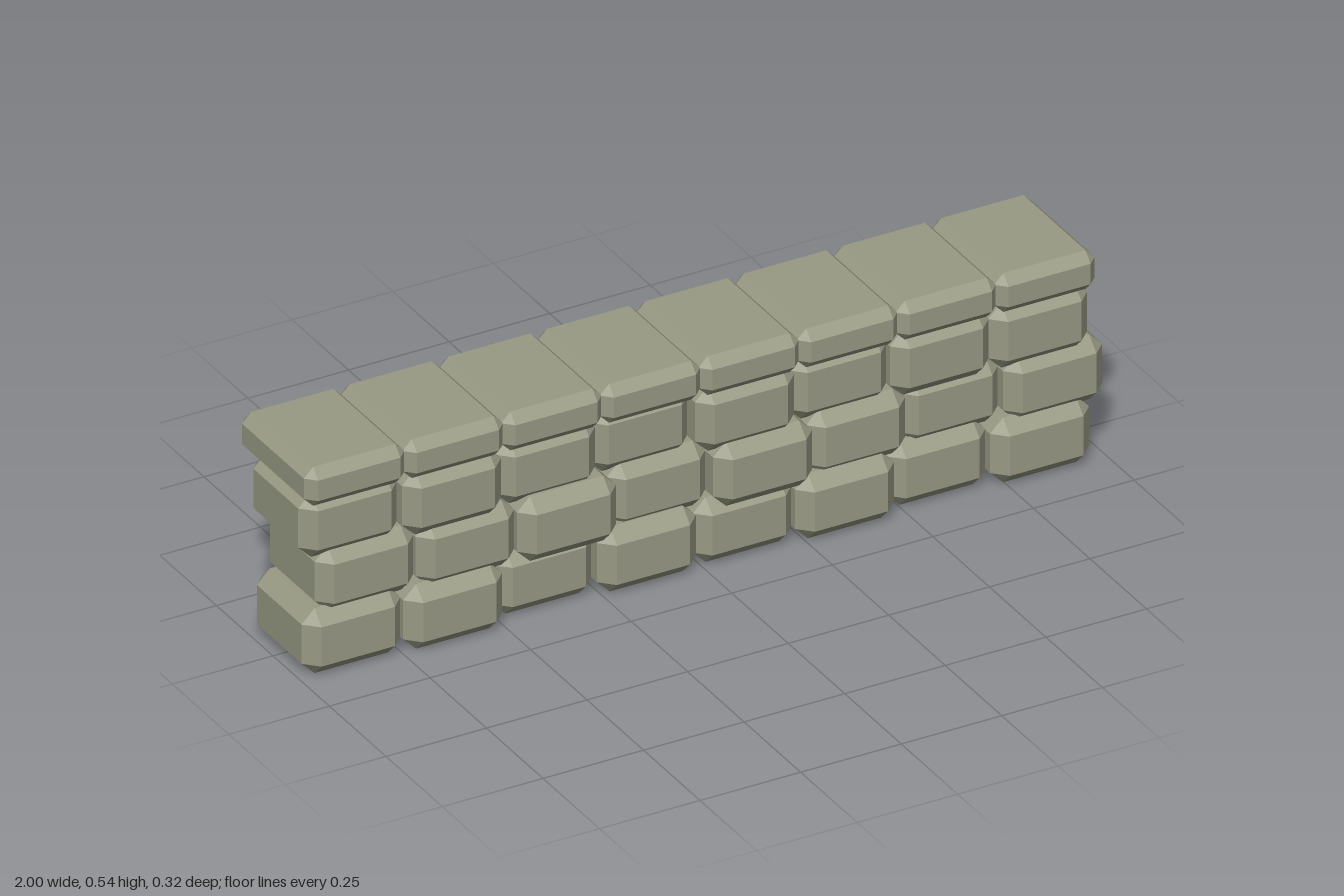
import * as THREE from 'three';
import { ConvexGeometry } from 'three/addons/geometries/ConvexGeometry.js';

// Box with every edge bevelled flat by c
function chamferedBox(w, h, d, c) {
  const pts = [];
  const [x, y, z] = [w / 2, h / 2, d / 2];
  for (const sx of [-1, 1]) for (const sy of [-1, 1]) for (const sz of [-1, 1]) {
    pts.push(
      new THREE.Vector3(sx * x, sy * (y - c), sz * (z - c)),
      new THREE.Vector3(sx * (x - c), sy * y, sz * (z - c)),
      new THREE.Vector3(sx * (x - c), sy * (y - c), sz * z));
  }
  return new ConvexGeometry(pts);
}

export function createModel() {
  const model = new THREE.Group();
  model.name = 'stoneWall';
  const stone = new THREE.MeshStandardMaterial({ color: 0x989a84 });
  stone.name = 'stone';

  // Staggered courses of bricks, each brick pushed slightly in or out
  const brick = chamferedBox(0.246, 0.162, 0.262, 0.032);
  const courses = [
    { x: -0.867, y: 0.081, z: [0.01, 0.026, -0.012, 0.015, 0.005, 0.024, -0.005, 0.02] },
    { x: -0.829, y: 0.222, z: [0, 0.012, 0.028, -0.01, 0.028, 0.005, -0.017, 0.01] },
    { x: -0.867, y: 0.364, z: [-0.005, 0.02, 0.002, -0.021, 0.015, -0.008, 0.01, 0.012] },
  ];
  courses.forEach((course, row) => {
    const group = new THREE.Group();
    group.name = `brickCourse${row + 1}`;
    course.z.forEach((z, i) => {
      const mesh = new THREE.Mesh(brick, stone);
      mesh.name = 'brick';
      mesh.position.set(course.x + i * 0.2437, course.y, z);
      group.add(mesh);
    });
    model.add(group);
  });

  // Wider capstones along the top
  const cap = chamferedBox(0.25, 0.097, 0.32, 0.023);
  const caps = new THREE.Group();
  caps.name = 'capstones';
  for (let i = 0; i < 8; i++) {
    const mesh = new THREE.Mesh(cap, stone);
    mesh.name = 'capstone';
    mesh.position.set(-0.875 + i * 0.2451, 0.4865, 0);
    caps.add(mesh);
  }
  model.add(caps);
  return model;
}
